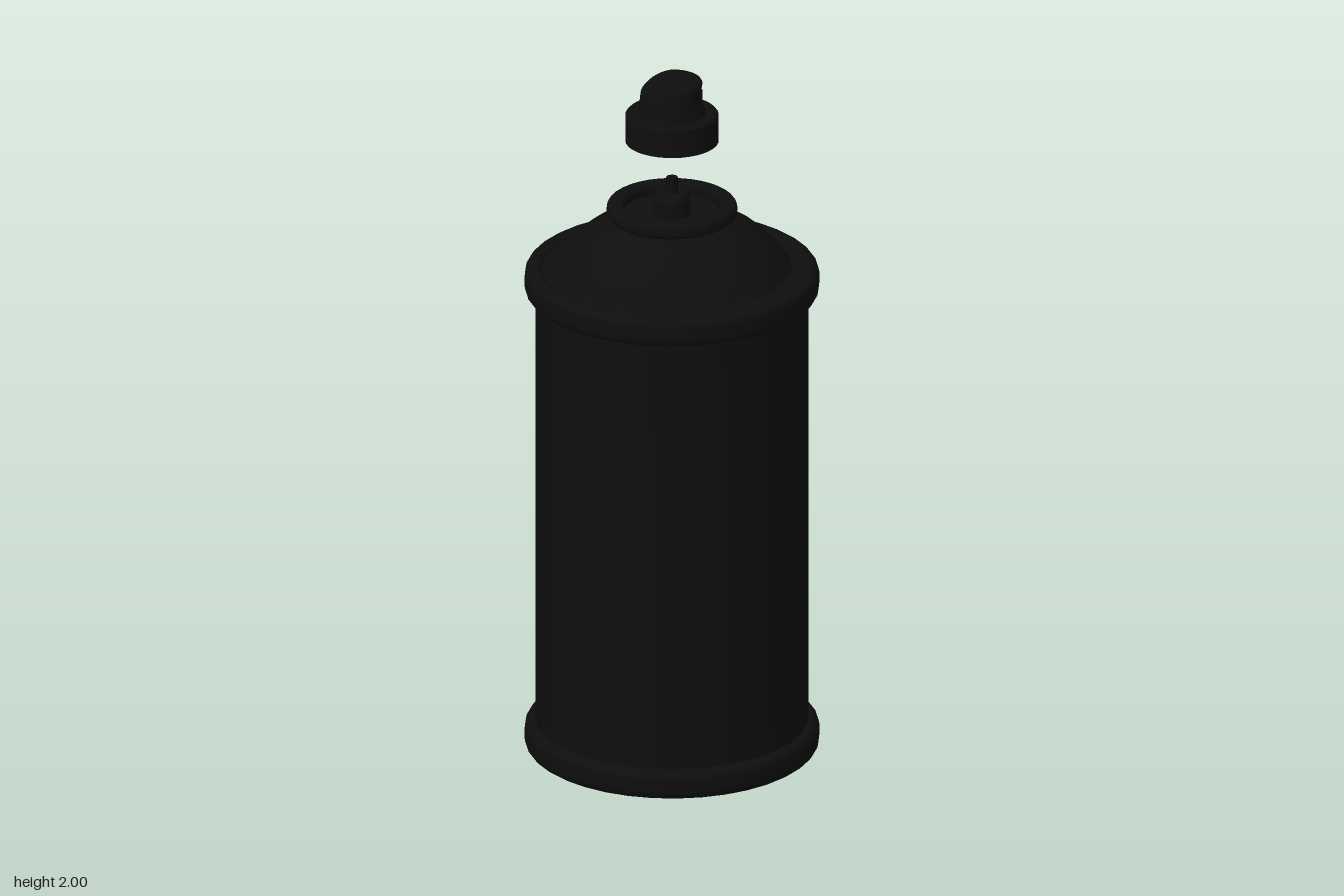
import * as THREE from 'three';
import { toCreasedNormals } from 'three/addons/utils/BufferGeometryUtils.js';

const SIDES = 36;
const material = new THREE.MeshStandardMaterial({ color: 0x0e0e0e, side: THREE.DoubleSide });

function part(name, geometry, crease = 0.7) {
  const mesh = new THREE.Mesh(toCreasedNormals(geometry, crease), material);
  mesh.name = name;
  return mesh;
}

// Profile points are [radius, height], running up the outside and down the inside
function turned(points) {
  return new THREE.LatheGeometry(points.map(([r, y]) => new THREE.Vector2(r, y)), SIDES);
}

// Closed band with rounded corners, from inner to outer radius
function roundedBand(inner, outer, y0, y1, radius) {
  const points = [];
  const corners = [
    [outer - radius, y0 + radius, -90], [outer - radius, y1 - radius, 0],
    [inner + radius, y1 - radius, 90], [inner + radius, y0 + radius, 180],
  ];
  for (const [r, y, start] of corners) {
    for (let i = 0; i <= 4; i++) {
      const a = THREE.MathUtils.degToRad(start + i * 22.5);
      points.push([r + radius * Math.cos(a), y + radius * Math.sin(a)]);
    }
  }
  points.push(points[0]);
  return turned(points);
}

// Button: slanted finger rest towards -x, slightly hollow spray face towards +x
function buttonGeometry() {
  const geometry = turned([
    [0.097, 1.9], [0.094, 1.925], [0.091, 1.95], [0.089, 1.975], [0.087, 1.993], [0.081, 2],
    [0.065, 2], [0.045, 2], [0.025, 2], [0, 2],
  ]);
  const p = geometry.attributes.position;
  for (let i = 0; i < p.count; i++) {
    const x = p.getX(i), y = p.getY(i);
    const rise = (y - 1.9) / 0.1;
    const back = Math.max(0, (0.01 - x) / 0.095);
    p.setY(i, y - 0.028 * rise * back ** 1.6);
    if (x > 0.04) {
      const hollow = Math.sin(Math.PI * Math.min(1, rise));
      p.setX(i, x - 0.01 * hollow * (x - 0.04) / 0.05);
    }
  }
  return geometry;
}

export function createModel() {
  const can = new THREE.Group();
  can.name = 'sprayCan';

  // Can wall and concave base
  can.add(part('body', turned([[0.38, 0.04], [0.38, 1.4]])));
  can.add(part('base', turned([
    [0, 0.13], [0.1, 0.125], [0.2, 0.108], [0.29, 0.075], [0.36, 0.035],
  ])));

  // Rolled rims
  can.add(part('bottomRim', roundedBand(0.355, 0.41, 0, 0.085, 0.026)));
  can.add(part('topRim', roundedBand(0.355, 0.41, 1.36, 1.445, 0.026)));

  // Shoulder dome
  can.add(part('shoulder', turned([
    [0.38, 1.42], [0.36, 1.435], [0.335, 1.44], [0.31, 1.475], [0.28, 1.508],
    [0.245, 1.538], [0.21, 1.562], [0.17, 1.582], [0.13, 1.595],
  ])));

  // Valve cup with its rolled collar, recessed floor and stem
  can.add(part('collar', roundedBand(0.133, 0.182, 1.59, 1.638, 0.02)));
  can.add(part('valve', turned([
    [0.14, 1.605], [0.052, 1.602], [0.052, 1.65], [0.044, 1.662], [0.016, 1.664],
    [0.016, 1.71], [0.008, 1.71], [0.008, 1.67], [0, 1.67],
  ]), 0.5));

  // Lifted cap: hollow skirt, finger button and spray orifice
  const cap = new THREE.Group();
  cap.name = 'cap';
  cap.add(part('capSkirt', turned([
    [0.115, 1.82], [0.13, 1.82], [0.13, 1.898], [0.124, 1.905], [0.09, 1.905],
  ])));
  cap.add(part('capInside', turned([
    [0.085, 1.895], [0.115, 1.89], [0.115, 1.82],
  ].reverse())));
  cap.add(part('capCeiling', turned([[0.085, 1.895], [0.02, 1.895], [0.02, 1.86], [0.01, 1.86], [0.01, 1.9], [0, 1.9]])));
  cap.add(part('button', buttonGeometry()));

  const orifice = part('sprayOrifice', new THREE.TorusGeometry(0.014, 0.003, 8, 20));
  orifice.rotation.y = Math.PI / 2;
  orifice.position.set(0.082, 1.955, 0);
  cap.add(orifice);
  can.add(cap);

  return can;
}
